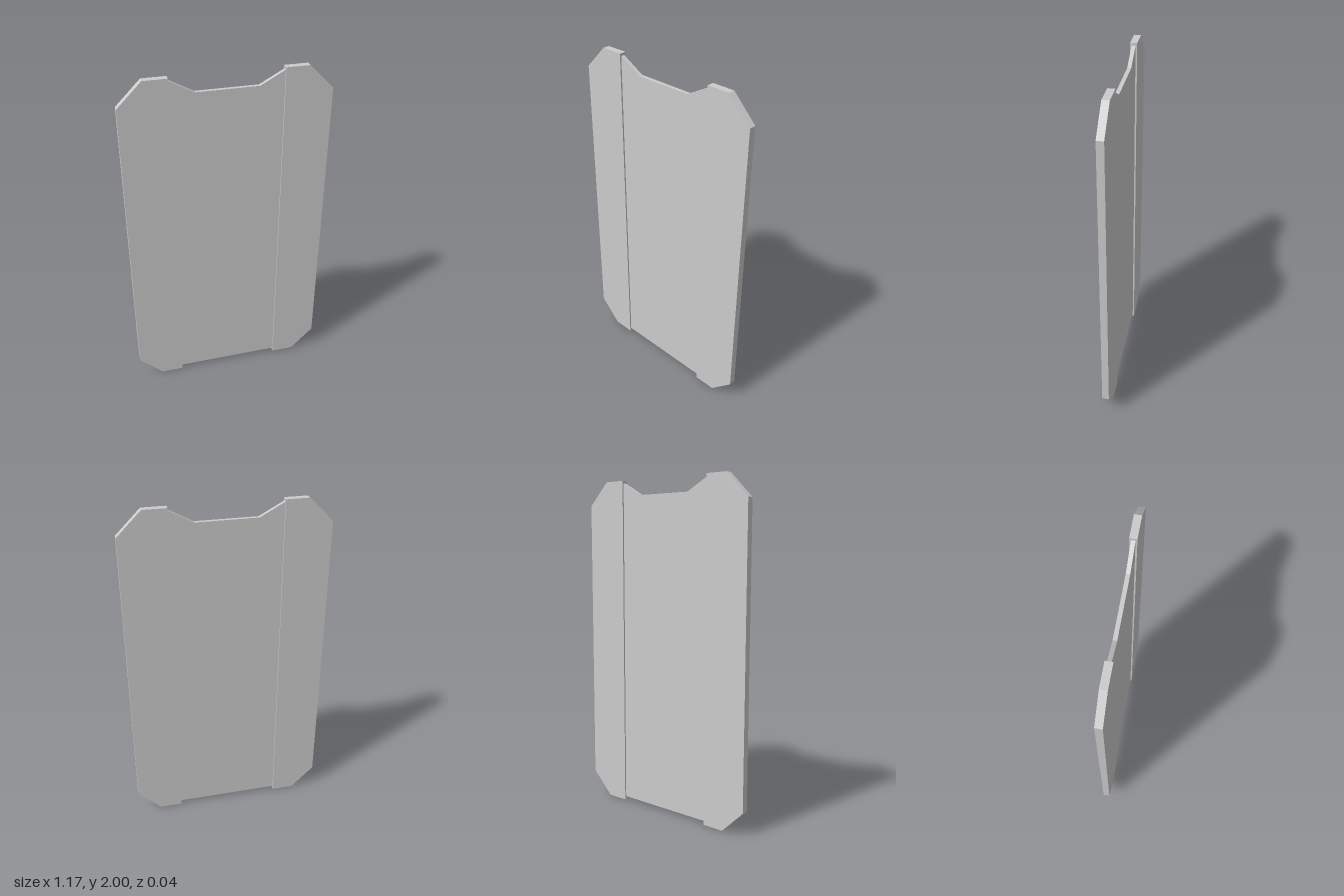
import * as THREE from 'three';

const material = new THREE.MeshStandardMaterial({ color: 0xcccccc, flatShading: true });

// Flat plate cut to an outline, centred on z = 0
function plate(name, points, depth) {
  const shape = new THREE.Shape(points.map(([x, y]) => new THREE.Vector2(x, y)));
  const geometry = new THREE.ExtrudeGeometry(shape, { depth, bevelEnabled: false });
  geometry.translate(0, 0, -depth / 2);
  const mesh = new THREE.Mesh(geometry, material);
  mesh.name = name;
  return mesh;
}

export function createModel() {
  const group = new THREE.Group();
  group.name = 'panel';

  // Thin middle panel with a notch in its top edge
  group.add(plate('centrePanel', [
    [-0.314, 0.02], [0.314, 0.02], [0.314, 1.985],
    [0.175, 1.91], [-0.175, 1.91], [-0.314, 1.985],
  ], 0.022));

  // Thicker side rails with chamfered outer corners
  for (const [name, s] of [['leftRail', 1], ['rightRail', -1]]) {
    group.add(plate(name, [
      [0.314, 0], [0.448, 0], [0.587, 0.138],
      [0.587, 1.862], [0.448, 2], [0.314, 2],
    ].map(([x, y]) => [s * x, y]), 0.04));
  }
  return group;
}
